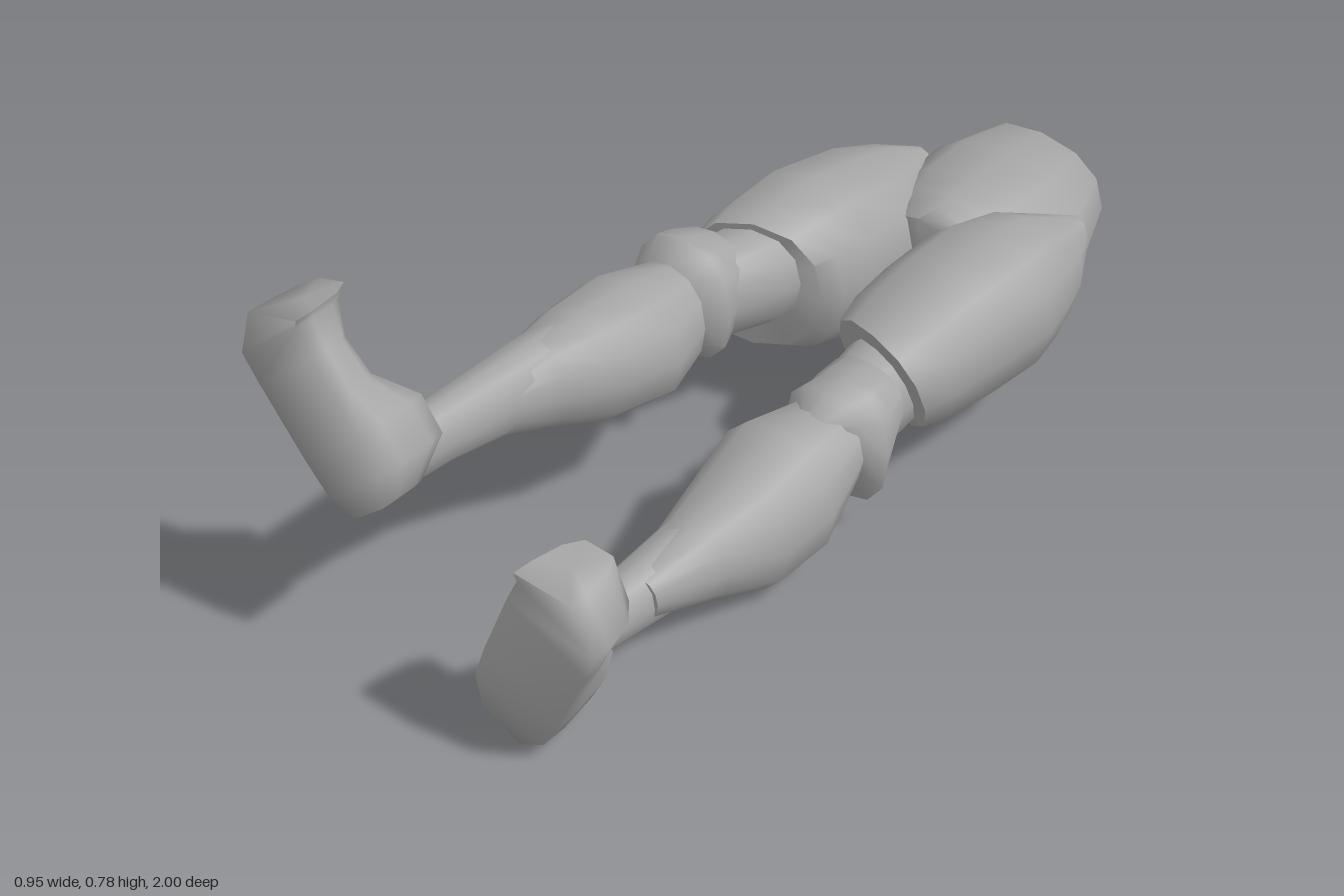
import * as THREE from 'three';
import { toCreasedNormals } from 'three/addons/utils/BufferGeometryUtils.js';

const SIDES = 12;

// Closed skin over equal-sized rings of points (counter-clockwise seen from the end)
function skin(rings, crease) {
  const n = rings[0].length, pos = [], index = [];
  rings.forEach(r => r.forEach(p => pos.push(p.x, p.y, p.z)));
  for (let i = 0; i < rings.length - 1; i++) {
    for (let j = 0; j < n; j++) {
      const k = (j + 1) % n, a = i * n + j, b = i * n + k;
      index.push(a, b, b + n, a, b + n, a + n);
    }
  }
  [0, rings.length - 1].forEach((i, end) => {
    const c = new THREE.Vector3();
    rings[i].forEach(p => c.addScaledVector(p, 1 / n));
    const id = pos.length / 3;
    pos.push(c.x, c.y, c.z);
    for (let j = 0; j < n; j++) {
      const a = i * n + j, b = i * n + (j + 1) % n;
      if (end) index.push(id, a, b); else index.push(id, b, a);
    }
  });
  const g = new THREE.BufferGeometry();
  g.setAttribute('position', new THREE.Float32BufferAttribute(pos, 3));
  g.setIndex(index);
  return toCreasedNormals(g, crease);
}

// Limb along z; each section is [z, centre x, centre y, radius x, radius y, slope x, slope y].
// lean shifts the upper half of every section sideways.
function limb(sections, lean = 0) {
  const full = t => Math.sign(t) * Math.pow(Math.abs(t), 0.87);
  return skin(sections.map(([z, cx, cy, rx, ry, sx = 0, sy = 0]) =>
    Array.from({ length: SIDES }, (_, j) => {
      const t = j / SIDES * Math.PI * 2;
      const y = ry * full(Math.sin(t)), x = rx * full(Math.cos(t)) + lean * y;
      return new THREE.Vector3(cx + x, cy + y, z + sx * x + sy * y);
    })), 0.95);
}

// Foot from heel to toe, sole flat on z = 1, softly shaded all round
const FOOT_SECTION = [[1, 0], [0.98, 0.3], [0.82, 0.75], [0.5, 1], [-0.5, 1], [-0.82, 0.75], [-0.98, 0.3], [-1, 0]];
const FOOT_STEPS = [ // distance from heel, half width, height, outward shift, slant of the section
  [0, 0.055, 0.13, 0, 0], [0.06, 0.1, 0.215, 0, 0], [0.15, 0.108, 0.215, 0, 0], [0.24, 0.11, 0.135, 0, 0],
  [0.33, 0.112, 0.125, 0, 0], [0.4, 0.11, 0.155, 0, 0], [0.44, 0.068, 0.165, -0.056, 0.42],
];
function foot(hx, hy, dx, dy) {
  const out = Math.sign(dx);
  return skin(FOOT_STEPS.map(([u, w, h, shift, slant]) => FOOT_SECTION.map(([v, t]) => {
    const across = w * v + out * shift, along = u + out * slant * w * v;
    return new THREE.Vector3(hx + dx * along + dy * across, hy + dy * along - dx * across, 1 - h * t);
  })), 1.75);
}

const LEGS = {
  left: {
    thighLean: 0.12,
    thigh: [[-0.76, 0.31, 0.31, 0.045, 0.09], [-0.68, 0.29, 0.29, 0.11, 0.14], [-0.6, 0.275, 0.287, 0.152, 0.177],
      [-0.5, 0.262, 0.285, 0.19, 0.183], [-0.35, 0.257, 0.28, 0.185, 0.177],
      [-0.23, 0.25, 0.272, 0.175, 0.157, 0.2, 0.15], [-0.16, 0.25, 0.267, 0.155, 0.135, 0.3, 0.35]],
    lowerThigh: [[-0.3, 0.25, 0.25, 0.1, 0.105], [-0.15, 0.255, 0.25, 0.1, 0.105], [0, 0.275, 0.245, 0.095, 0.1]],
    knee: [[-0.08, 0.275, 0.28, 0.1, 0.075], [-0.02, 0.285, 0.25, 0.115, 0.115], [0.01, 0.285, 0.21, 0.12, 0.155],
      [0.065, 0.275, 0.255, 0.105, 0.105], [0.125, 0.28, 0.26, 0.05, 0.06]],
    calf: [[0.07, 0.28, 0.235, 0.105, 0.095], [0.2, 0.257, 0.175, 0.155, 0.15], [0.33, 0.26, 0.145, 0.135, 0.14],
      [0.47, 0.26, 0.155, 0.095, 0.095], [0.64, 0.26, 0.16, 0.05, 0.05]],
    shin: [[0.35, 0.25, 0.17, 0.085, 0.095], [0.5, 0.245, 0.155, 0.073, 0.085],
      [0.75, 0.235, 0.14, 0.055, 0.06], [0.86, 0.24, 0.14, 0.06, 0.065]],
    foot: [0.207, 0.028, 0.41, 0.912],
  },
  right: {
    thighLean: 0,
    thigh: [[-0.78, -0.135, 0.315, 0.04, 0.065], [-0.68, -0.132, 0.295, 0.113, 0.133], [-0.56, -0.118, 0.298, 0.182, 0.172],
      [-0.35, -0.11, 0.32, 0.189, 0.201], [-0.23, -0.115, 0.325, 0.175, 0.186, -0.2],
      [-0.16, -0.115, 0.335, 0.155, 0.16, -0.33]],
    lowerThigh: [[-0.3, -0.115, 0.36, 0.11, 0.115], [-0.15, -0.12, 0.365, 0.11, 0.115], [0, -0.15, 0.37, 0.1, 0.1]],
    knee: [[-0.095, -0.17, 0.4, 0.1, 0.085], [-0.03, -0.17, 0.385, 0.127, 0.125], [0.01, -0.17, 0.37, 0.135, 0.15],
      [0.065, -0.17, 0.375, 0.105, 0.11], [0.11, -0.18, 0.375, 0.05, 0.06]],
    calf: [[0.07, -0.155, 0.37, 0.1, 0.12], [0.2, -0.16, 0.37, 0.15, 0.14], [0.35, -0.165, 0.38, 0.13, 0.13],
      [0.47, -0.175, 0.395, 0.092, 0.1], [0.65, -0.18, 0.41, 0.045, 0.055]],
    shin: [[0.35, -0.185, 0.4, 0.08, 0.1], [0.5, -0.185, 0.41, 0.075, 0.09],
      [0.75, -0.19, 0.425, 0.06, 0.07], [0.86, -0.19, 0.43, 0.06, 0.07]],
    foot: [-0.137, 0.39, -0.64, 0.768],
  },
};

export function createModel() {
  const model = new THREE.Group();
  const grey = new THREE.MeshStandardMaterial({ color: 0xa6a6a6 });
  grey.name = 'plain grey';
  const add = (parent, name, geometry) => {
    const mesh = new THREE.Mesh(geometry, grey);
    mesh.name = name;
    parent.add(mesh);
  };

  // Hips, front side upward
  add(model, 'pelvis', limb([
    [-1, 0.1, 0.29, 0.1, 0.07], [-0.94, 0.09, 0.305, 0.18, 0.13], [-0.8, 0.1, 0.292, 0.23, 0.162],
    [-0.67, 0.1, 0.267, 0.22, 0.185], [-0.59, 0.095, 0.275, 0.175, 0.168],
    [-0.53, 0.105, 0.305, 0.135, 0.138], [-0.5, 0.08, 0.31, 0.08, 0.11],
  ]));

  // Legs reaching forward, feet turned outward
  for (const [side, { thighLean, ...parts }] of Object.entries(LEGS)) {
    const leg = new THREE.Group();
    leg.name = side + 'Leg';
    for (const [name, data] of Object.entries(parts)) {
      const lean = name === 'thigh' ? thighLean : 0;
      add(leg, name, name === 'foot' ? foot(...data) : limb(data, lean));
    }
    model.add(leg);
  }
  return model;
}
